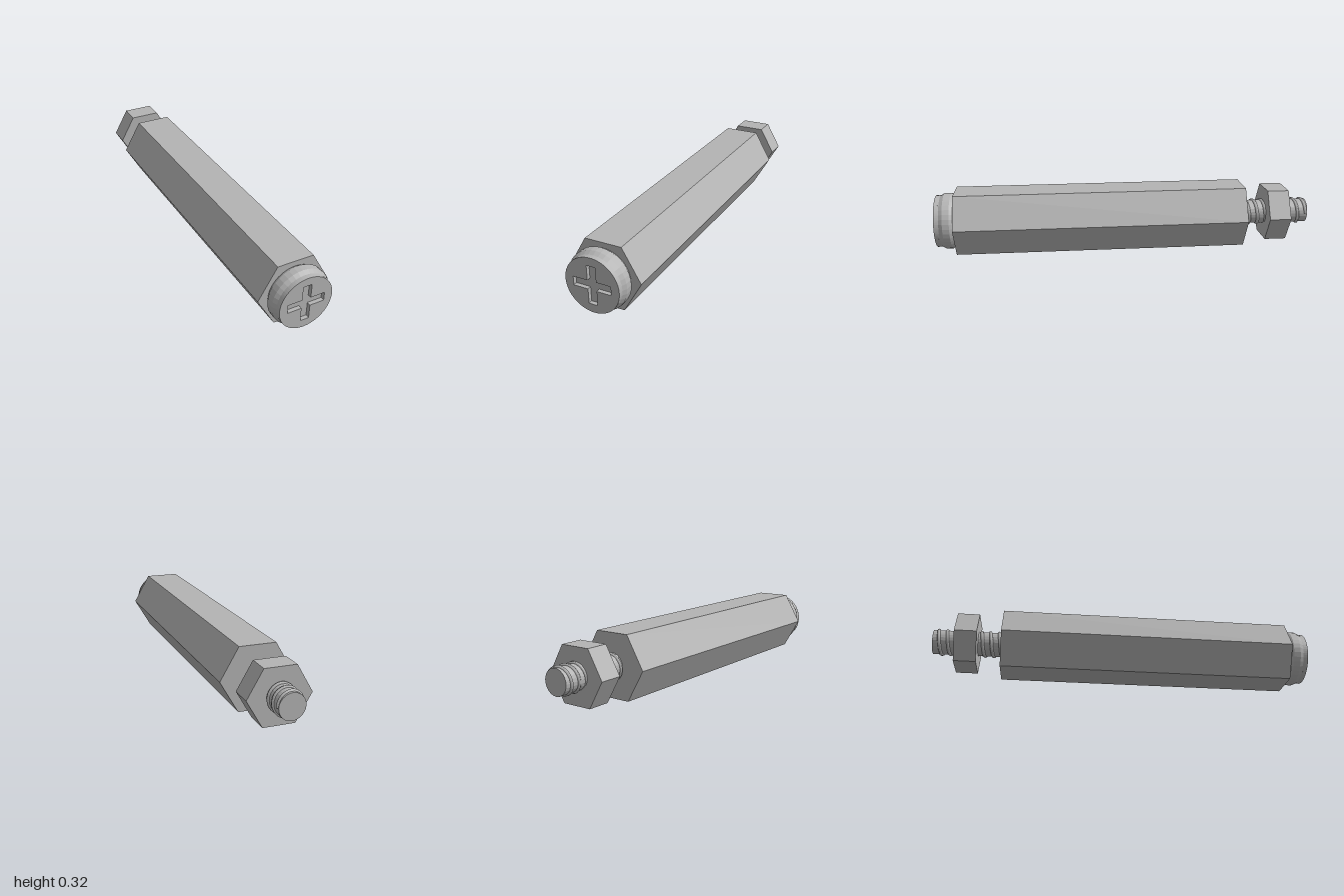
import * as THREE from 'three';

const AXIS_Y = 0.16; // height of the long axis

export function createModel() {
  const model = new THREE.Group();
  const steel = new THREE.MeshStandardMaterial({ color: 0xb4b4b4 });
  steel.name = 'steel';

  const add = (name, geometry, flat = true) => {
    let g = geometry;
    if (flat) {
      if (g.index) g = g.toNonIndexed();
      g.computeVertexNormals();
    }
    const mesh = new THREE.Mesh(g, steel);
    mesh.name = name;
    mesh.position.y = AXIS_Y;
    model.add(mesh);
  };

  // Cylinder or prism along z, from z0 to z1
  const barAlongZ = (radius, z0, z1, sides, turn = 0) =>
    new THREE.CylinderGeometry(radius, radius, z1 - z0, sides, 1, false, turn)
      .rotateX(Math.PI / 2)
      .translate(0, 0, (z0 + z1) / 2);

  // Hexagonal standoff and nut, flats up and down
  add('hexBody', barAlongZ(0.185, -0.64, 0.9, 6, Math.PI / 6));
  add('nut', barAlongZ(0.158, -0.88, -0.765, 6, Math.PI / 6));

  // Threaded rod
  add('rod', barAlongZ(0.064, -1, -0.63, 24));
  class Helix extends THREE.Curve {
    getPoint(t, target = new THREE.Vector3()) {
      const a = t * 8 * Math.PI * 2;
      return target.set(Math.cos(a) * 0.063, Math.sin(a) * 0.063, -0.99 + t * 0.36);
    }
  }
  add('thread', new THREE.TubeGeometry(new Helix(), 8 * 28, 0.009, 6), false);

  // Side of the screw head
  const profile = [[0.13, 0.895], [0.138, 0.905], [0.148, 0.92], [0.148, 0.955], [0.137, 0.975], [0.137, 0.98]]
    .map(([r, z]) => new THREE.Vector2(r, z));
  add('screwHead', new THREE.LatheGeometry(profile, 36).rotateX(Math.PI / 2));

  // Front of the screw head, with a cross-shaped recess
  const a = 0.095, w = 0.022;
  const disc = new THREE.Shape().absarc(0, 0, 0.137, 0, Math.PI * 2, false);
  const cross = [[w, w], [w, a], [-w, a], [-w, w], [-a, w], [-a, -w], [-w, -w], [-w, -a], [w, -a], [w, -w], [a, -w], [a, w]];
  disc.holes.push(new THREE.Path(cross.map(([x, y]) => new THREE.Vector2(x, y))));
  add('screwFace', new THREE.ExtrudeGeometry(disc, { depth: 0.02, bevelEnabled: false, curveSegments: 36 })
    .translate(0, 0, 0.98));
  add('recessFloor', new THREE.CircleGeometry(0.136, 36).translate(0, 0, 0.98));

  return model;
}
